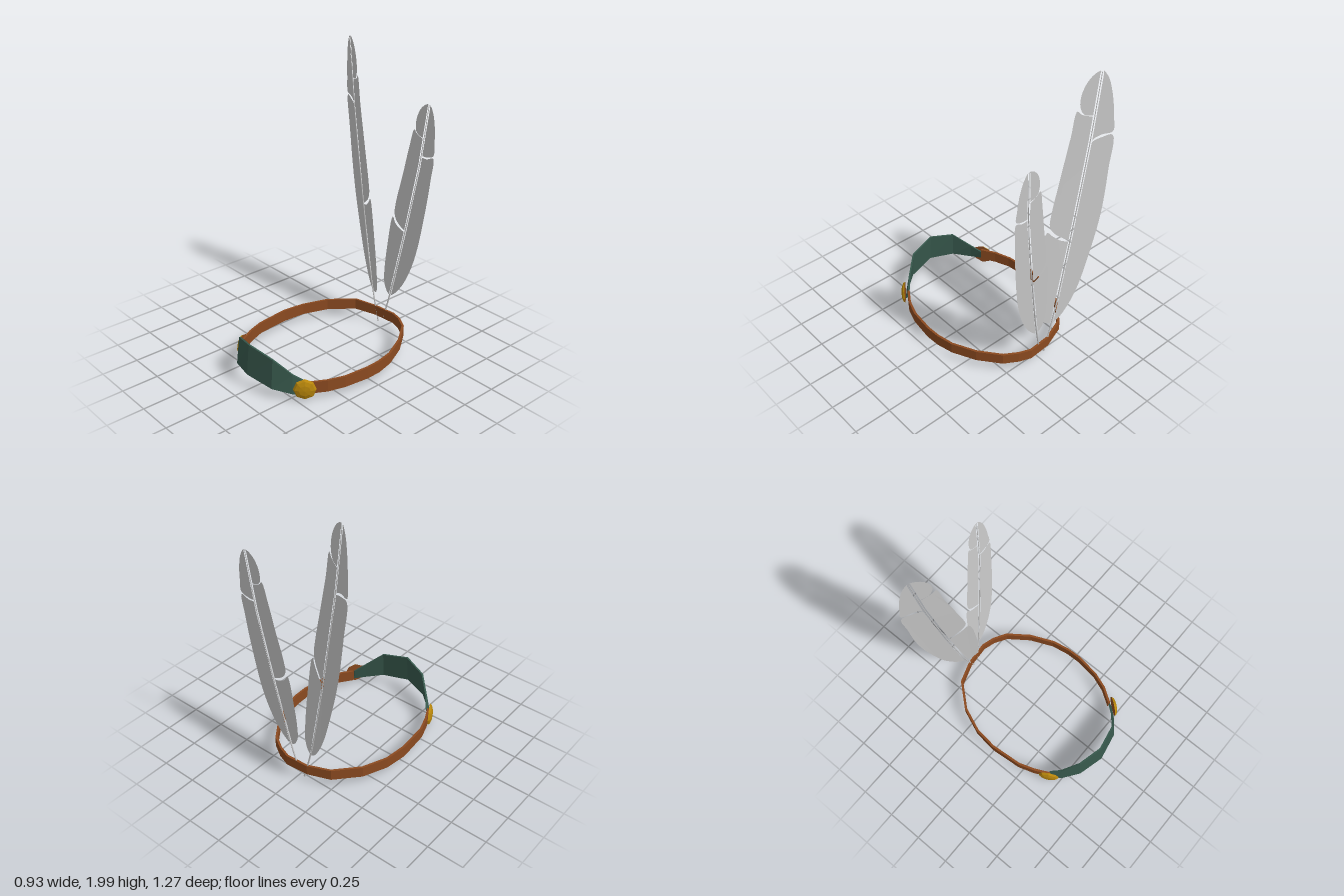
import * as THREE from 'three';

const paint = (name, color, extra = {}) => {
  const m = new THREE.MeshStandardMaterial({ color, ...extra });
  m.name = name;
  return m;
};

// Bent strip of rectangular section; rows are [x, z, yBottom, yTop], lean pushes the top edge inward
function stripGeometry(rows, thick, lean = 0) {
  const rings = rows.map(([x, z, y0, y1], i) => {
    const a = rows[Math.max(i - 1, 0)], b = rows[Math.min(i + 1, rows.length - 1)];
    const n = new THREE.Vector2(a[1] - b[1], b[0] - a[0]).normalize();
    const at = (y, d) => [x - n.x * d, y, z - n.y * d];
    return [at(y0, 0), at(y1, lean), at(y1, lean + thick), at(y0, thick)];
  });
  const pos = [];
  const quad = (a, b, c, d) => pos.push(...a, ...b, ...c, ...a, ...c, ...d);
  for (let i = 0; i < rings.length - 1; i++) {
    const p = rings[i], q = rings[i + 1];
    for (let k = 0; k < 4; k++) quad(p[k], q[k], q[(k + 1) % 4], p[(k + 1) % 4]);
  }
  quad(...rings[0]);
  quad(...rings[rings.length - 1].slice().reverse());
  const g = new THREE.BufferGeometry();
  g.setAttribute('position', new THREE.Float32BufferAttribute(pos, 3));
  g.computeVertexNormals();
  return g;
}

// Feather: a curved quill with barb sections either side, separated by narrow splits
function makeFeather(name, mat, { quill, zAt, twist, left, right }) {
  const group = new THREE.Group();
  group.name = name;
  const quillX = (y) => {
    let i = 1;
    while (i < quill.length - 1 && y > quill[i][1]) i++;
    const [x0, y0] = quill[i - 1], [x1, y1] = quill[i];
    return x0 + (x1 - x0) * (y - y0) / (y1 - y0);
  };
  const add = (geo, part) => {
    const m = new THREE.Mesh(geo, mat);
    m.name = part;
    group.add(m);
  };
  const path = new THREE.CatmullRomCurve3(quill.map(([x, y]) => new THREE.Vector3(x, y, zAt(y))));
  const shaft = new THREE.TubeGeometry(path, 24, 0.0055, 6);
  // taper the shaft toward its tip
  const sp = shaft.attributes.position;
  for (let i = 0; i < sp.count; i++) {
    const c = path.getPointAt(Math.floor(i / 7) / 24);
    const s = 1 - 0.6 * Math.floor(i / 7) / 24;
    sp.setXYZ(i, c.x + (sp.getX(i) - c.x) * s, c.y + (sp.getY(i) - c.y) * s, c.z + (sp.getZ(i) - c.z) * s);
  }
  add(shaft, 'quill');

  const vane = (sections, side) => sections.forEach(({ from, to, edge }) => {
    const inner = (y) => new THREE.Vector2(quillX(y) + side * 0.01, y);
    const pts = [inner(from), ...edge.map(([x, y]) => new THREE.Vector2(x, y)), inner(to)];
    const outline = new THREE.CatmullRomCurve3(
      pts.map((p) => new THREE.Vector3(p.x, p.y, 0)), false, 'centripetal'
    ).getPoints(48).map((p) => new THREE.Vector2(p.x, p.y));
    for (let i = 1; i < 16; i++) outline.push(inner(to + (from - to) * i / 16));
    const g = new THREE.ShapeGeometry(new THREE.Shape(outline));
    const p = g.attributes.position;
    for (let i = 0; i < p.count; i++) {
      const y = p.getY(i);
      p.setZ(i, zAt(y) + twist * (p.getX(i) - quillX(y)));
    }
    g.computeVertexNormals();
    add(g, 'vane');
  });
  vane(left, -1);
  vane(right, 1);
  return group;
}

export function createModel() {
  const model = new THREE.Group();
  model.name = 'featheredHeadband';
  const leather = paint('brown leather', 0x8b4a20, { flatShading: true });
  const green = paint('dark green', 0x37584c, { flatShading: true });
  const gold = paint('gold', 0xb8860b, { flatShading: true });
  const grey = paint('feather grey', 0xc8c8c8, { side: THREE.DoubleSide });
  const add = (geo, mat, name, parent = model) => {
    const m = new THREE.Mesh(geo, mat);
    m.name = name;
    parent.add(m);
    return m;
  };

  // Leather band, open at the front
  add(stripGeometry([
    [0.33, 0.43, 0.05, 0.13], [0.395, 0.33, 0.055, 0.135], [0.435, 0.22, 0.06, 0.135],
    [0.458, 0.05, 0.06, 0.14], [0.455, -0.05, 0.06, 0.14], [0.432, -0.17, 0.065, 0.14],
    [0.36, -0.33, 0.07, 0.145], [0.255, -0.47, 0.075, 0.15], [0.165, -0.525, 0.075, 0.148],
    [0.08, -0.552, 0.07, 0.142], [-0.08, -0.54, 0.07, 0.14], [-0.235, -0.485, 0.075, 0.15],
    [-0.37, -0.33, 0.07, 0.145], [-0.438, -0.16, 0.065, 0.14], [-0.457, 0, 0.06, 0.14],
    [-0.437, 0.22, 0.06, 0.135], [-0.4, 0.33, 0.055, 0.135], [-0.35, 0.43, 0.05, 0.13],
  ], 0.015), leather, 'band');

  // Raised front plate
  add(stripGeometry([
    [-0.355, 0.435, 0.05, 0.12], [-0.305, 0.5, 0.05, 0.165], [-0.2, 0.585, 0.08, 0.27], [-0.025, 0.635, 0.102, 0.308],
    [0.17, 0.595, 0.076, 0.272], [0.275, 0.515, 0.055, 0.18], [0.335, 0.45, 0.05, 0.13],
  ], 0.012, 0.02), green, 'frontPlate');

  // Faceted studs with leather backs where plate and band meet
  for (const [name, x, y, z, nx, nz] of [
    ['leftStud', 0.328, 0.095, 0.46, 0.77, 0.63],
    ['rightStud', -0.352, 0.083, 0.425, -0.88, 0.47],
  ]) {
    const stud = new THREE.Group();
    stud.name = name;
    const dome = new THREE.SphereGeometry(0.073, 8, 3, 0, Math.PI * 2, 0, Math.PI / 2);
    dome.scale(1, 0.36, 1).rotateX(Math.PI / 2);
    add(dome, gold, 'dome', stud);
    const back = new THREE.CircleGeometry(0.073, 8);
    back.rotateY(Math.PI);
    add(back, leather, 'backing', stud);
    stud.position.set(x, y, z);
    stud.rotation.y = Math.atan2(nx, nz);
    model.add(stud);
  }

  // Tall feather
  model.add(makeFeather('tallFeather', grey, {
    quill: [[-0.05, 0.03], [-0.122, 0.3], [-0.225, 0.86], [-0.335, 1.55], [-0.388, 1.99]],
    zAt: (y) => -0.53 - 0.006 * y,
    twist: 0.45,
    left: [
      { from: 0.25, to: 1.548, edge: [[-0.17, 0.3], [-0.255, 0.46], [-0.33, 0.7], [-0.405, 1.02], [-0.445, 1.35], [-0.461, 1.575], [-0.4, 1.57], [-0.36, 1.557]] },
      { from: 1.556, to: 1.98, edge: [[-0.36, 1.572], [-0.4, 1.588], [-0.462, 1.597], [-0.463, 1.7], [-0.452, 1.83], [-0.425, 1.95], [-0.395, 1.998]] },
    ],
    right: [
      { from: 0.25, to: 0.87, edge: [[-0.06, 0.265], [-0.03, 0.31], [-0.025, 0.42], [-0.04, 0.65], [-0.092, 0.965], [-0.125, 0.93], [-0.175, 0.885]] },
      { from: 0.88, to: 1.715, edge: [[-0.175, 0.91], [-0.13, 0.955], [-0.108, 1.01], [-0.115, 1.08], [-0.165, 1.32], [-0.225, 1.6], [-0.258, 1.765], [-0.283, 1.74]] },
      { from: 1.722, to: 1.98, edge: [[-0.3, 1.735], [-0.275, 1.785], [-0.278, 1.86], [-0.31, 1.94], [-0.35, 1.985], [-0.38, 1.998]] },
    ],
  }));

  // Short feather
  model.add(makeFeather('shortFeather', grey, {
    quill: [[-0.005, 0.08], [0.045, 0.3], [0.13, 0.77], [0.205, 1.25], [0.242, 1.655]],
    zAt: (y) => -0.53 - 0.064 * y,
    twist: -0.03,
    left: [
      { from: 0.27, to: 0.765, edge: [[0.005, 0.29], [-0.022, 0.35], [-0.028, 0.45], [-0.02, 0.6], [0.012, 0.84], [0.04, 0.8], [0.09, 0.772]] },
      { from: 0.775, to: 1.43, edge: [[0.09, 0.79], [0.045, 0.825], [0.025, 0.87], [0.03, 0.95], [0.07, 1.15], [0.105, 1.34], [0.138, 1.475], [0.158, 1.455]] },
      { from: 1.437, to: 1.645, edge: [[0.172, 1.45], [0.153, 1.47], [0.148, 1.54], [0.175, 1.615], [0.215, 1.653], [0.236, 1.658]] },
    ],
    right: [
      { from: 0.27, to: 1.308, edge: [[0.075, 0.29], [0.13, 0.36], [0.19, 0.48], [0.24, 0.65], [0.285, 0.95], [0.307, 1.18], [0.312, 1.325], [0.26, 1.307]] },
      { from: 1.318, to: 1.645, edge: [[0.26, 1.32], [0.312, 1.342], [0.312, 1.42], [0.303, 1.52], [0.28, 1.61], [0.25, 1.658]] },
    ],
  }));

  return model;
}
